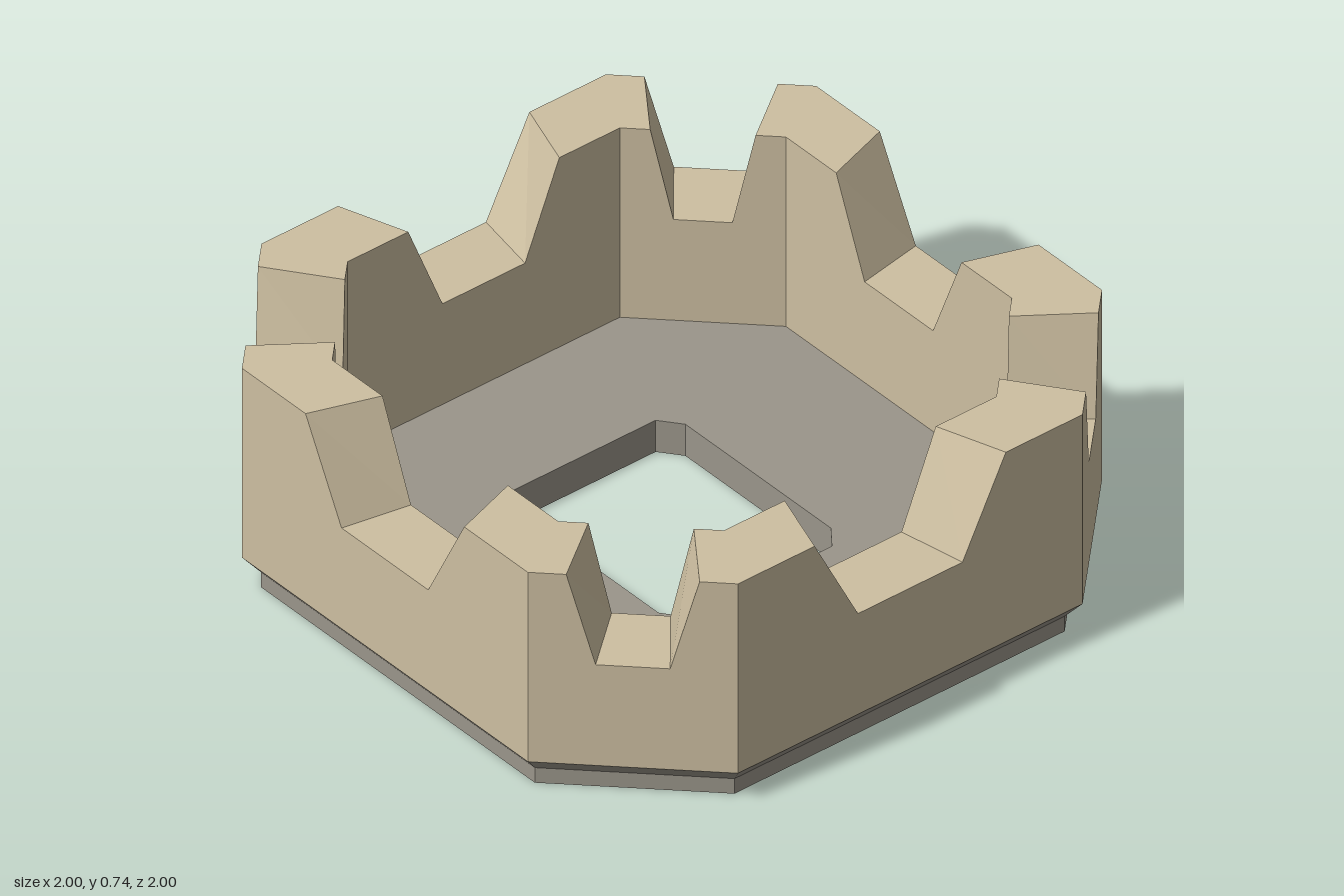
import * as THREE from 'three';

const TOP = 0.735, NOTCH = 0.44, FLOOR = 0.105, FOOT = 0.05, INNER = 0.79;

// Chamfered rectangle corners as [x, z], starting on the front edge and walking towards +x
const outline = (w, d, cx, cz) => [
  [-cx, d], [cx, d], [w, cz], [w, -cz], [cx, -d], [-cx, -d], [-w, -cz], [-w, cz],
];
const at = ([x, z], y, s = 1) => [x * s, y, z * s];

// Flat-faced geometry from a list of quads
function quadGeometry(quads) {
  const pos = [];
  for (const [a, b, c, d] of quads) pos.push(...a, ...b, ...c, ...a, ...c, ...d);
  const g = new THREE.BufferGeometry();
  g.setAttribute('position', new THREE.Float32BufferAttribute(pos, 3));
  g.computeVertexNormals();
  return g;
}

// Outward-facing band between a lower and an upper ring
const band = (low, y0, high, y1) => low.map((p, i) => {
  const j = (i + 1) % low.length;
  return [at(p, y0), at(low[j], y0), at(high[j], y1), at(high[i], y1)];
});

// Horizontal octagonal sheet with the central opening
function sheet(ring, hole, y, facingUp) {
  const toPoints = (pts) => pts.map(([x, z]) => new THREE.Vector2(x, z));
  const shape = new THREE.Shape(toPoints(ring));
  shape.holes.push(new THREE.Path(toPoints(hole)));
  const g = new THREE.ShapeGeometry(shape);
  g.rotateX(facingUp ? -Math.PI / 2 : Math.PI / 2);
  g.translate(0, y, 0);
  return g;
}

export function createModel() {
  const stone = new THREE.MeshStandardMaterial({ color: 0xcdbfa1 });
  stone.name = 'sandstone';
  const grey = new THREE.MeshStandardMaterial({ color: 0x9a958a });
  grey.name = 'greyStone';

  const model = new THREE.Group();
  model.name = 'octagonalParapet';
  const add = (parent, name, geometry, material) => {
    const mesh = new THREE.Mesh(geometry, material);
    mesh.name = name;
    parent.add(mesh);
  };

  const outer = outline(1, 1, 0.6, 0.6);
  const foot = outline(0.955, 0.955, 0.575, 0.575);
  const inner = outer.map(([x, z]) => [x * INNER, z * INNER]);
  const hole = outline(0.3, 0.37, 0.25, 0.305);

  // Eight notched walls, tapering towards the centre
  const walls = new THREE.Group();
  walls.name = 'walls';
  outer.forEach((p, i) => {
    const q = outer[(i + 1) % 8];
    const [wide, narrow] = i % 2 ? [0.635, 0.355] : [0.555, 0.303];
    const crest = [[-1, TOP], [-wide, TOP], [-narrow, NOTCH], [narrow, NOTCH], [wide, TOP], [1, TOP]]
      .map(([t, y]) => {
        const f = (t + 1) / 2;
        return { p: [p[0] + (q[0] - p[0]) * f, p[1] + (q[1] - p[1]) * f], y };
      });
    const quads = [];
    for (let k = 0; k < crest.length - 1; k++) {
      const a = crest[k], b = crest[k + 1];
      quads.push(
        [at(a.p, FLOOR), at(b.p, FLOOR), at(b.p, b.y), at(a.p, a.y)],
        [at(b.p, FLOOR, INNER), at(a.p, FLOOR, INNER), at(a.p, a.y, INNER), at(b.p, b.y, INNER)],
        [at(a.p, a.y), at(b.p, b.y), at(b.p, b.y, INNER), at(a.p, a.y, INNER)],
      );
    }
    add(walls, i % 2 ? 'cornerWall' : 'sideWall', quadGeometry(quads), stone);
  });
  model.add(walls);

  // Base slab: floor, underside, bevelled rim and the sides of the opening
  const base = new THREE.Group();
  base.name = 'base';
  add(base, 'floor', sheet(inner, hole, FLOOR, true), grey);
  add(base, 'underside', sheet(foot, hole, 0, false), grey);
  add(base, 'bevel', quadGeometry(band(foot, FOOT, outer, FLOOR)), grey);
  add(base, 'footRim', quadGeometry(band(foot, 0, foot, FOOT)), grey);
  const reversed = [...hole].reverse();
  add(base, 'openingSides', quadGeometry(band(reversed, 0, reversed, FLOOR)), grey);
  model.add(base);

  return model;
}
